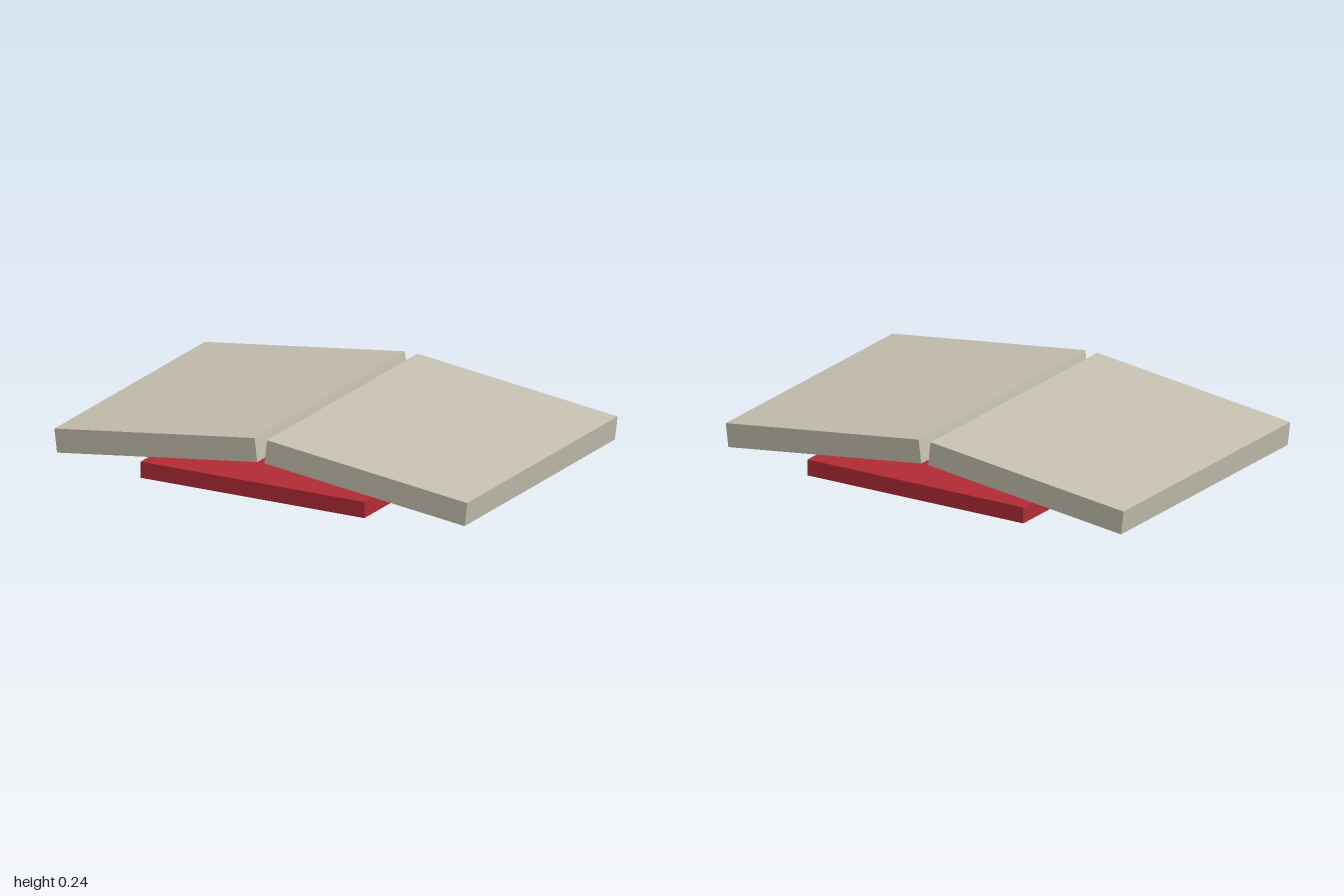
import * as THREE from 'three';

export function createModel() {
  const model = new THREE.Group();
  model.name = 'openBook';

  const coverRed = new THREE.MeshStandardMaterial({ color: 0xb22c35 });
  coverRed.name = 'coverRed';
  const paper = new THREE.MeshStandardMaterial({ color: 0xc5c0b0 });
  paper.name = 'paper';

  const addSlab = (name, material, size, position, tilt = 0) => {
    const slab = new THREE.Mesh(new THREE.BoxGeometry(...size), material);
    slab.name = name;
    slab.position.set(...position);
    slab.rotation.z = tilt;
    model.add(slab);
  };

  // Flat cover lying on the ground
  addSlab('cover', coverRed, [1.084, 0.072, 1.446], [0, 0.036, 0]);

  // Two page blocks sloping down from the central gap
  const tilt = THREE.MathUtils.degToRad(7);
  for (const [name, side] of [['leftPages', 1], ['rightPages', -1]]) {
    addSlab(name, paper, [0.977, 0.106, 1.302], [side * 0.5087, 0.129, 0], -side * tilt);
  }

  return model;
}
